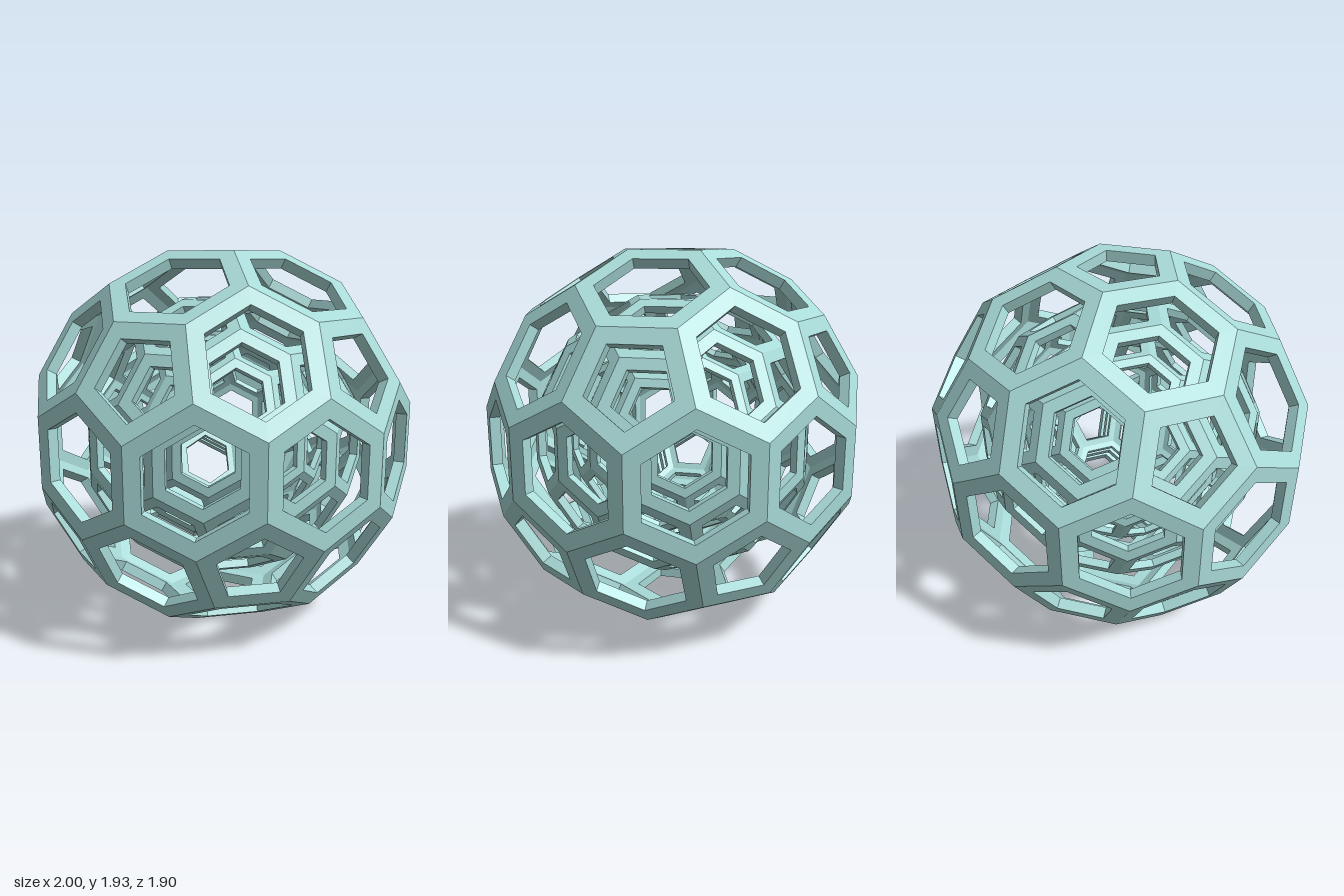
import * as THREE from 'three';

const HEX_DIST = 0.951;    // centre to hexagon plane
const PENT_DIST = 0.965;   // centre to pentagon plane
const RIM = 0.078;         // rim width around every opening
const INNER = 0.942;       // inner skin relative to outer skin
const SHELL_SCALES = [1, 0.75, 0.5625];

// Face planes: 12 pentagons on the five-fold axes, 30 hexagons midway between them
function facePlanes() {
  const axes = [new THREE.Vector3(0, 1, 0)];
  const lat = Math.atan(0.5);
  for (let k = 0; k < 5; k++) {
    const a = (k * 2 * Math.PI) / 5;
    axes.push(new THREE.Vector3(Math.cos(lat) * Math.cos(a), Math.sin(lat), Math.cos(lat) * Math.sin(a)));
  }
  axes.push(...axes.map((v) => v.clone().negate()));
  const planes = axes.map((n) => ({ n, d: PENT_DIST }));
  for (let i = 0; i < 12; i++)
    for (let j = i + 1; j < 12; j++)
      if (axes[i].dot(axes[j]) > 0.4)
        planes.push({ n: axes[i].clone().add(axes[j]).normalize(), d: HEX_DIST });
  return planes;
}

// Corners of one face, counter-clockwise from outside, moved in from its edges by inset
function faceCorners(face, planes, inset) {
  const { n, d } = face;
  const u = new THREE.Vector3(0.31, 0.47, 0.83).cross(n).normalize();
  const v = new THREE.Vector3().crossVectors(n, u);
  const edges = planes
    .filter((p) => p !== face && p.n.dot(n) > 0.75)
    .map((p) => {
      const c = p.n.dot(n);
      return {
        angle: Math.atan2(p.n.dot(v), p.n.dot(u)),
        dist: (p.d - d * c) / Math.sqrt(1 - c * c) - inset,
      };
    })
    .sort((a, b) => a.angle - b.angle);
  return edges.map((a, i) => {
    const b = edges[(i + 1) % edges.length];
    const det = Math.sin(b.angle - a.angle);
    const x = (a.dist * Math.sin(b.angle) - b.dist * Math.sin(a.angle)) / det;
    const y = (b.dist * Math.cos(a.angle) - a.dist * Math.cos(b.angle)) / det;
    return n.clone().multiplyScalar(d).addScaledVector(u, x).addScaledVector(v, y);
  });
}

// Hollow cage: every face is a flat rim, a straight opening wall and an inner rim
function cageGeometry() {
  const planes = facePlanes();
  const positions = [];
  const quad = (a, b, c, d) => [a, b, c, a, c, d].forEach((p) => positions.push(p.x, p.y, p.z));
  for (const face of planes) {
    const outer = faceCorners(face, planes, 0);
    const hole = faceCorners(face, planes, RIM);
    const depth = face.d * (1 - INNER);
    const innerHole = hole.map((p) => p.clone().addScaledVector(face.n, -depth));
    const inner = outer.map((p) => p.clone().multiplyScalar(INNER));
    outer.forEach((_, i) => {
      const j = (i + 1) % outer.length;
      quad(outer[i], outer[j], hole[j], hole[i]);
      quad(hole[i], hole[j], innerHole[j], innerHole[i]);
      quad(innerHole[i], innerHole[j], inner[j], inner[i]);
    });
  }
  const geometry = new THREE.BufferGeometry();
  geometry.setAttribute('position', new THREE.Float32BufferAttribute(positions, 3));
  geometry.computeVertexNormals();
  return geometry;
}

export function createModel() {
  const model = new THREE.Group();
  model.name = 'nestedCages';
  const material = new THREE.MeshStandardMaterial({ color: 0xa8dad7, flatShading: true });
  const geometry = cageGeometry();
  // Concentric cages, each fitting the openings of the one outside it
  const names = ['outerCage', 'middleCage', 'innerCage'];
  SHELL_SCALES.forEach((s, i) => {
    const cage = new THREE.Mesh(geometry, material);
    cage.name = names[i];
    cage.scale.setScalar(s);
    cage.position.y = PENT_DIST;
    model.add(cage);
  });
  return model;
}
